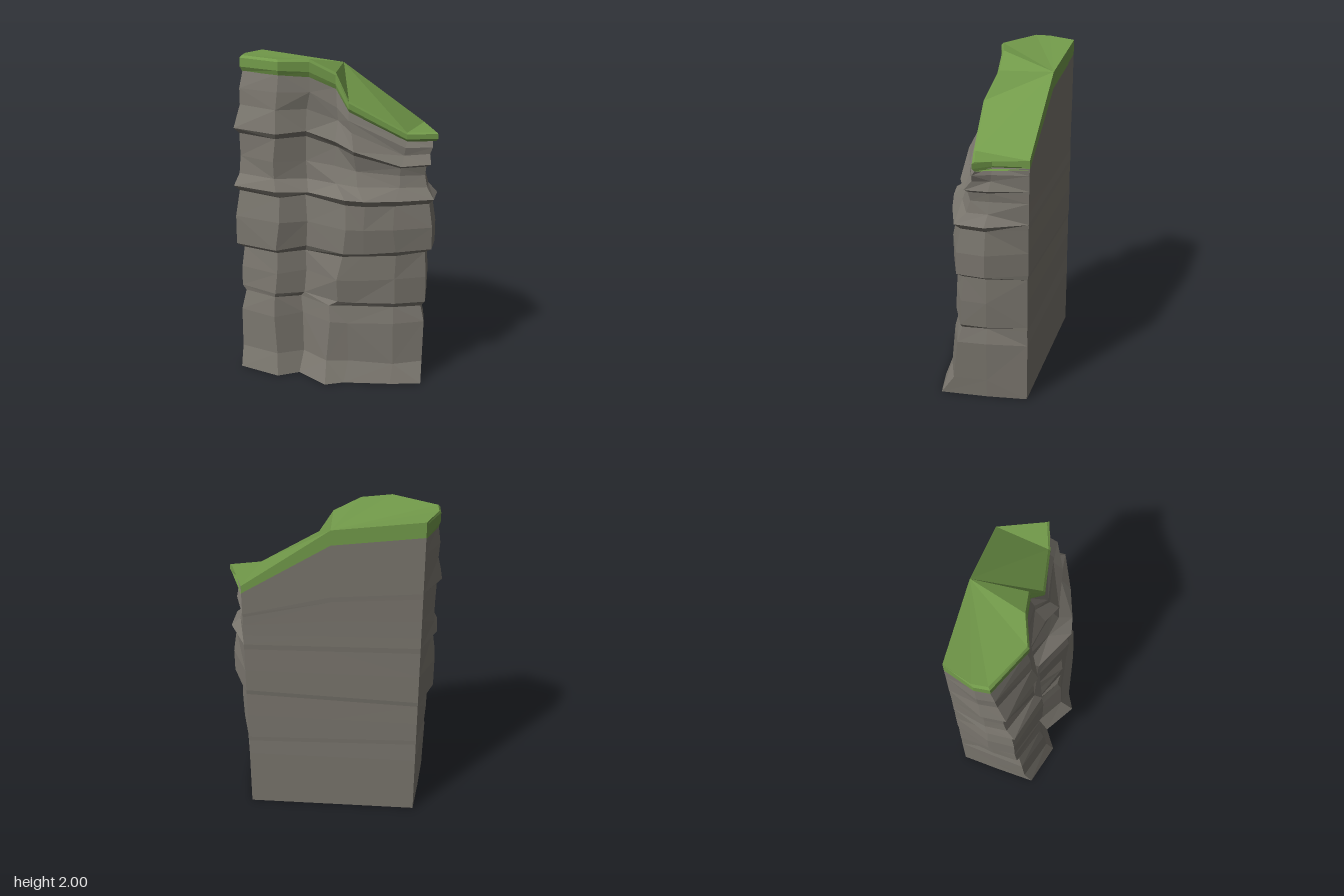
import * as THREE from 'three';

const rockMat = new THREE.MeshStandardMaterial({ color: 0x79756d });
rockMat.name = 'stone grey';
rockMat.flatShading = true;
const grassMat = new THREE.MeshStandardMaterial({ color: 0x729a4a });
grassMat.name = 'grass green';
grassMat.flatShading = true;

const BACK = -0.325;
const lerp = THREE.MathUtils.lerp, clamp = THREE.MathUtils.clamp;

let seed = 11;
const jitter = (amount) => {
  seed = (seed * 16807) % 2147483647;
  return (seed / 2147483647 - 0.5) * 2 * amount;
};

// Plan outlines [x, z], from left side round the front to right side
const OUTLINES = [
  [[-0.56, -0.08], [-0.585, 0.17], [-0.32, 0.265], [-0.195, 0.19], [0, 0.33], [0.11, 0.28], [0.4, 0.245], [0.59, 0.205], [0.56, -0.08]],
  [[-0.56, -0.08], [-0.585, 0.1], [-0.35, 0.19], [-0.19, 0.1], [0, 0.22], [0.12, 0.2], [0.4, 0.17], [0.585, 0.09], [0.565, -0.08]],
  [[-0.615, -0.1], [-0.615, 0.06], [-0.33, 0.165], [-0.16, 0.085], [0.1, 0.23], [0.22, 0.21], [0.4, 0.165], [0.615, 0.075], [0.62, -0.09]],
  [[-0.62, -0.11], [-0.615, 0.02], [-0.35, 0.135], [-0.17, 0.045], [0.02, 0.085], [0.15, 0.135], [0.42, 0.1], [0.58, 0.025], [0.57, -0.1]],
  [[-0.6, -0.14], [-0.59, -0.06], [-0.33, 0.075], [-0.15, 0.02], [0.01, 0], [0.1, 0.055], [0.45, 0.01], [0.6, -0.04], [0.55, -0.12]],
];
const TOP = OUTLINES.length - 1;

// Rock layers: left height, right height, outline blend, outward push, slope kink
const LAYERS = [
  [0, 0, 0, 0, 0],
  [0.13, 0.12, 0.7, 0, 0],
  [0.38, 0.38, 1, 0.005, 0],
  [0.505, 0.475, 1, -0.02, 0],
  [0.535, 0.505, 1.5, -0.008, 0],
  [0.66, 0.67, 1.65, -0.012, 0],
  [0.785, 0.83, 1.8, -0.028, 0],
  [0.815, 0.86, 2, 0.008, 0],
  [1.0, 1.0, 2, 0.008, 0],
  [1.165, 1.145, 2, -0.015, 0],
  [1.2, 1.18, 2, 0.014, 0],
  [1.27, 1.24, 2.7, -0.01, 0.3],
  [1.38, 1.31, 3, -0.015, 0.8],
  [1.525, 1.365, 3.05, -0.01, 1],
  [1.56, 1.385, 3.1, 0.02, 1],
  [1.7, 1.44, 3.5, 0, 1],
  [1.8, 1.48, 3.75, 0.01, 1],
];

// Turf rim [x, z, top height, bottom height]: back left round the front to back right, then back middle
const RIM = [
  [-0.53, BACK, 2, 1.9], [-0.61, -0.14, 2, 1.9], [-0.605, -0.05, 2, 1.9],
  [-0.33, 0.092, 2, 1.905], [-0.15, 0.035, 2, 1.89], [0.01, 0.015, 1.92, 1.82],
  [0.1, 0.075, 1.76, 1.695], [0.45, 0.025, 1.57, 1.515], [0.635, -0.025, 1.57, 1.515],
  [0.56, -0.12, 1.57, 1.515], [0.52, BACK, 1.57, 1.515], [0, BACK, 1.935, 1.835],
];
const N = RIM.length, BACK_RIGHT = N - 2, BACK_MID = N - 1, SLOPE_END = 7;

// Skins closed rings of points, with a cap at each end
function loft(rings, zigzag) {
  const pos = [];
  const tri = (...pts) => pts.forEach((p) => pos.push(...p));
  for (let r = 0; r < rings.length - 1; r++) {
    for (let i = 0; i < N; i++) {
      const k = (i + 1) % N;
      const a = rings[r][i], b = rings[r][k], c = rings[r + 1][k], d = rings[r + 1][i];
      if (zigzag && (i * 3 + r) % 2) { tri(a, b, d); tri(b, c, d); }
      else { tri(a, b, c); tri(a, c, d); }
    }
  }
  const low = rings[0], high = rings[rings.length - 1];
  const cap = (a, b, c) => {
    tri(high[a], high[b], high[c]);
    tri(low[a], low[c], low[b]);
  };
  // slope fans from the back middle, the flat right ledge from the back right corner
  for (let i = 0; i < BACK_RIGHT - 1; i++) cap(i < SLOPE_END ? BACK_MID : BACK_RIGHT, i, i + 1);
  cap(BACK_MID, SLOPE_END, BACK_RIGHT);
  const geo = new THREE.BufferGeometry();
  geo.setAttribute('position', new THREE.Float32BufferAttribute(pos, 3));
  geo.computeVertexNormals();
  return geo;
}

// Plan ring of the rock for an outline blend and push
function rockPlan(blend, push) {
  const n = Math.min(Math.floor(blend), TOP - 1), f = blend - n;
  const front = OUTLINES[n].map(([x, z], i) => {
    const [x2, z2] = OUTLINES[n + 1][i];
    const side = i < 2 ? -1 : i > 6 ? 1 : 0;
    const isFront = i > 0 && i < 8;
    return [lerp(x, x2, f) + side * push, lerp(z, z2, f) + (isFront ? push : 0)];
  });
  // shallow seams between the layers on the back
  const back = BACK + Math.max(0, -push) * 0.15;
  return [[-0.53, back], ...front, [0.52, back], [0, back]];
}

function cliffRings() {
  const rings = LAYERS.map(([yl, yr, blend, push, kink], r) =>
    rockPlan(blend, push).map(([x, z], i) => {
      const straight = clamp((x + 0.6) / 1.2, 0, 1);
      const stepped = clamp((x + 0.12) / 0.5, 0, 1);
      const y = lerp(yl, yr, lerp(straight, stepped, kink));
      const rough = r > 0 && i > 2 && i < 8 ? 1 : 0;
      return [x + rough * jitter(0.014), y + rough * jitter(0.006), z + rough * jitter(0.008)];
    }));
  // last ring tucks just inside the turf
  rings.push(rockPlan(TOP, 0).map(([x, z], i) => [x, RIM[i][3] + 0.008, z]));
  return rings;
}

// Turf rings: bottom edge, widest line, upper edge, bevelled top
function turfRings() {
  return [[0, 0.012], [0.3, 0], [0.85, 0], [1, 0.012]].map(([t, inset]) =>
    RIM.map(([x, z, top, bottom], i) => {
      const isBack = i === 0 || i >= BACK_RIGHT;
      const s = isBack ? 0 : i < 3 ? 1 : i > 7 ? -1 : 0;
      return [x + s * inset, lerp(bottom, top, t), isBack ? z : z - inset];
    }));
}

export function createModel() {
  const group = new THREE.Group();
  group.name = 'cliff';
  const rock = new THREE.Mesh(loft(cliffRings(), true), rockMat);
  rock.name = 'layeredRock';
  const turf = new THREE.Mesh(loft(turfRings(), false), grassMat);
  turf.name = 'grassTop';
  group.add(rock, turf);
  return group;
}
